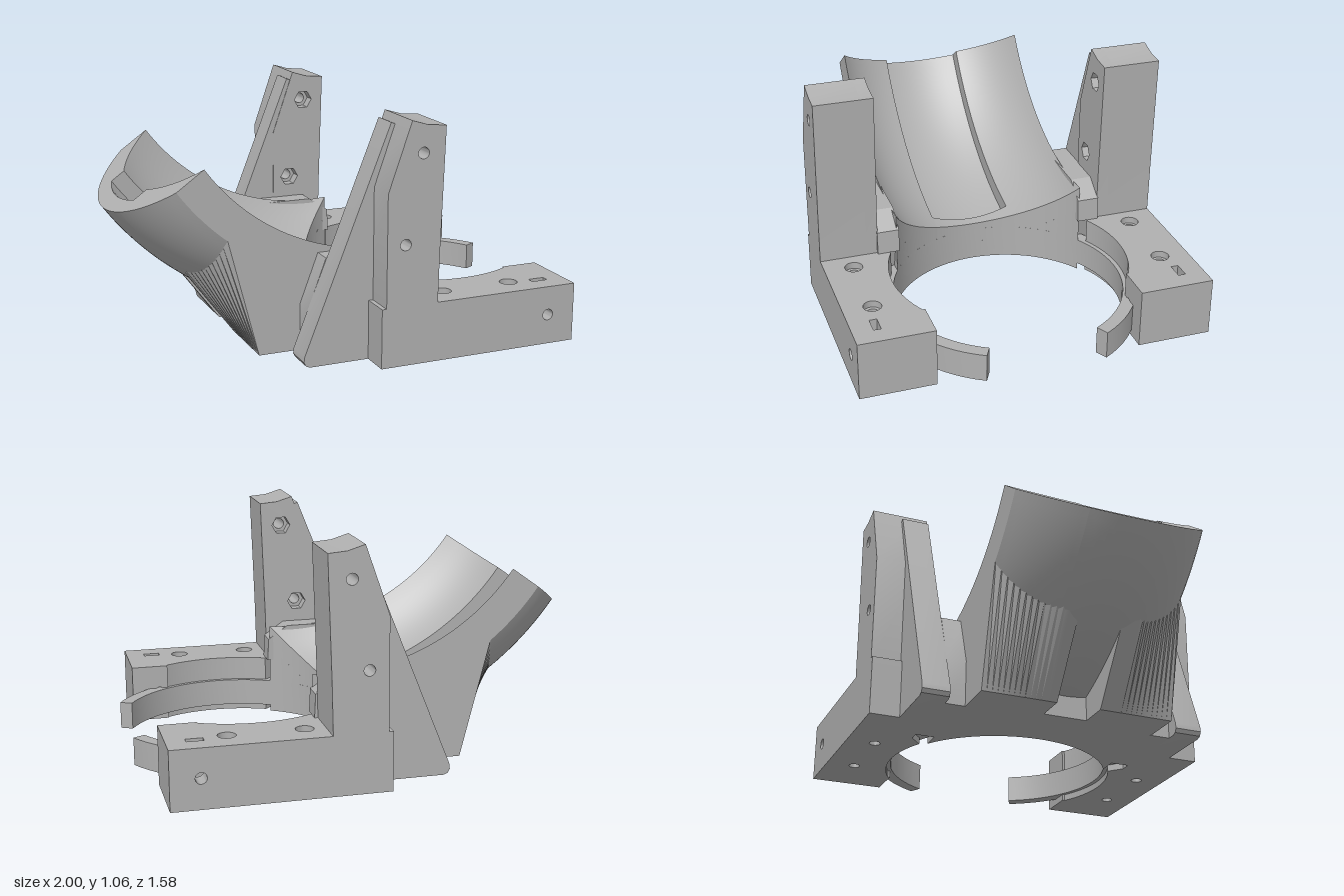
import * as THREE from 'three';
import { toCreasedNormals } from 'three/addons/utils/BufferGeometryUtils.js';

const grey = new THREE.MeshStandardMaterial({ color: 0xb0b0b0 });
grey.name = 'grey';

function circle(x, y, r, n = 24) {
  return Array.from({ length: n }, (_, i) => {
    const a = (i / n) * Math.PI * 2;
    return [x + r * Math.cos(a), y + r * Math.sin(a)];
  });
}
const toV2 = (pts) => pts.map(([x, y]) => new THREE.Vector2(x, y));

function extrude(pts, holes, depth) {
  const shape = new THREE.Shape(toV2(pts));
  for (const h of holes) shape.holes.push(new THREE.Path(toV2(h)));
  return new THREE.ExtrudeGeometry(shape, { depth, bevelEnabled: false });
}

// Side profile (x, y) extruded from z0 to z1
const prismZ = (pts, holes, z0, z1) => extrude(pts, holes, z1 - z0).translate(0, 0, z0);
// Plan outline (x, z) extruded from y0 to y1
const prismY = (pts, holes, y0, y1) =>
  extrude(pts, holes, y1 - y0).rotateX(Math.PI / 2).translate(0, y1, 0);

// Skin over counter-clockwise (x, y) loops placed at each z, with end caps
function loft(z0, z1, steps, section) {
  const loops = [];
  for (let k = 0; k <= steps; k++) {
    const z = z0 + ((z1 - z0) * k) / steps;
    loops.push(section(z).map(([x, y]) => [x, y, z]));
  }
  const pos = [];
  const n = loops[0].length;
  for (let k = 0; k < steps; k++) {
    for (let i = 0; i < n; i++) {
      const j = (i + 1) % n;
      const a = loops[k][i], b = loops[k][j], c = loops[k + 1][j], d = loops[k + 1][i];
      pos.push(...a, ...b, ...c, ...a, ...c, ...d);
    }
  }
  for (const [loop, flip] of [[loops[0], true], [loops[steps], false]]) {
    for (const [a, b, c] of THREE.ShapeUtils.triangulateShape(toV2(loop), [])) {
      pos.push(...loop[a], ...loop[flip ? c : b], ...loop[flip ? b : c]);
    }
  }
  const g = new THREE.BufferGeometry();
  g.setAttribute('position', new THREE.Float32BufferAttribute(pos, 3));
  return g;
}

// Trough is swept around a z axis at (CX, CY) and cut by the upright ring bore
const CX = 0.142, CY = 1.428, START = -0.953;
const RING_X = 0.5, BORE = 0.51;
const sag = (z) => 0.51 - Math.sqrt(0.2601 - z * z);
const floorR = (z) => 1.251 - sag(z);
const boreX = (z) => RING_X - Math.sqrt(BORE * BORE - z * z);
const angleAt = (x, r) => Math.asin((x - CX) / r);
function arc(r, a0, a1, n) {
  return Array.from({ length: n + 1 }, (_, i) => {
    const a = a0 + ((a1 - a0) * i) / n;
    return [CX + r * Math.sin(a), CY - r * Math.cos(a)];
  });
}

function shellSection(z) {
  const rin = floorR(z), rout = rin + 0.15;
  return [
    ...arc(rout, START, angleAt(boreX(z), rout), 28),
    ...arc(rin, angleAt(boreX(z), rin), START, 28),
  ];
}
function grooveSection(z) {
  const rin = floorR(z), rout = rin + 0.15, rg = rin + 0.072, stop = -0.055;
  return [
    ...arc(rout, START, angleAt(boreX(z), rout), 28),
    ...arc(rin, angleAt(boreX(z), rin), angleAt(stop, rin), 3),
    ...arc(rg, angleAt(stop, rg), START, 28),
  ];
}
// Support below the trough: back edge leans by slope from xb at the floor
function supportSection(z, xb, slope) {
  const r = floorR(z) + 0.1;
  const dx = xb - CX;
  const A = slope * slope + 1, B = -2 * (slope * dx + CY), C = dx * dx + CY * CY - r * r;
  const y = (-B - Math.sqrt(B * B - 4 * A * C)) / (2 * A);
  const back = Math.atan2(xb - slope * y - CX, CY - y);
  return [[xb, 0], [boreX(z), 0], ...arc(r, angleAt(boreX(z), r), back, 20)];
}
function legSection(z) {
  const t = Math.min(1, Math.max(0, (Math.abs(z) - 0.16) / 0.28));
  return supportSection(z, -0.44, 0.74 + (0.255 - 0.74) * t);
}

export function createModel() {
  const group = new THREE.Group();
  const add = (name, geo, parent = group) => {
    const mesh = new THREE.Mesh(toCreasedNormals(geo, 0.55), grey);
    mesh.name = name;
    parent.add(mesh);
  };

  // Curved trough with a sunken middle channel
  add('troughChannel', loft(-0.185, 0.185, 12, grooveSection));
  add('troughLeftWall', loft(0.185, 0.44, 12, shellSection));
  add('troughRightWall', loft(-0.44, -0.185, 12, shellSection));

  // Forked support under the trough
  add('supportCentre', loft(-0.1, 0.1, 6, (z) => supportSection(z, -0.3, 0)));
  add('supportLeftLeg', loft(0.1, 0.44, 14, legSection));
  add('supportRightLeg', loft(-0.44, -0.1, 14, legSection));

  // Open clamp ring
  const ringPts = [];
  const gap = 0.49, N = 64;
  for (const [r, dir] of [[0.568, 1], [BORE, -1]]) {
    for (let i = 0; i <= N; i++) {
      const t = dir > 0 ? i / N : 1 - i / N;
      const a = gap + t * (Math.PI * 2 - 2 * gap);
      ringPts.push([RING_X + r * Math.cos(a), r * Math.sin(a)]);
    }
  }
  add('clampRing', prismY(ringPts, [], 0.03, 0.155));

  // Side frames, mirrored in z
  for (const s of [1, -1]) {
    const side = new THREE.Group();
    side.name = s > 0 ? 'leftFrame' : 'rightFrame';
    group.add(side);
    const slab = (name, pts, holes, z0, z1) =>
      add(name, prismZ(pts, holes, s > 0 ? z0 : -z1, s > 0 ? z1 : -z0), side);

    // Base block with the ring recess and countersunk holes
    const plan = [[-0.02, 0.525], [-0.02, 0.79], [0.75, 0.79]];
    const a0 = Math.acos(0.25 / 0.53), a1 = Math.PI - 1.1;
    for (let i = 0; i <= 24; i++) {
      const a = a0 + ((a1 - a0) * i) / 24;
      plan.push([RING_X + 0.53 * Math.cos(a), 0.53 * Math.sin(a)]);
    }
    plan.push([0.2, 0.525]);
    const flip = (pts) => pts.map(([x, z]) => [x, z * s]);
    const bolts = (r) => [0.33, 0.66].map((x) => flip(circle(x, 0.66, r)));
    add('baseBlock', prismY(flip(plan), bolts(0.025), 0, 0.235), side);
    add('baseBlockTop', prismY(flip(plan), bolts(0.04), 0.235, 0.265), side);

    // Block end with cross hole and nut slot
    const end = [[0.75, 0], [0.92, 0], [0.92, 0.265], [0.75, 0.265]];
    const cross = [circle(0.79, 0.135, 0.025)];
    slab('blockEndInner', end, cross, 0.456, 0.667);
    slab('blockEndSlot', [[0.75, 0], [0.92, 0], [0.92, 0.265], [0.835, 0.265],
      [0.835, 0.09], [0.76, 0.09], [0.76, 0.265], [0.75, 0.265]], [], 0.667, 0.7);
    slab('blockEndOuter', end, cross, 0.7, 0.79);

    // Tower with nut pockets on the inner side
    const tower = [[0, 0.26], [0.24, 0.26], [0.245, 0.5], [0.262, 1.03],
      [0.18, 1.037], [0.105, 1.06], [0, 0.76]];
    const holes = (r, n) => [circle(0.16, 0.92, r, n), circle(0.085, 0.535, r, n)];
    slab('towerInner', tower, holes(0.045, 6), 0.527, 0.58);
    slab('towerOuter', tower, holes(0.025, 24), 0.58, 0.79);

    // Slanted brace against the tower
    slab('brace', [[-0.29, 0], [0.02, 0], [0.02, 0.75], [0.1, 1.02], [0.075, 1.03],
      [-0.315, 0.05], [-0.318, 0.025], [-0.308, 0.007]], [], 0.53, 0.655);

    // Web joining the trough to the frame
    slab('web', [[-0.25, 0], [0.15, 0], [0.22, 0.265], [0.255, 0.265], [0.25, 0.37],
      [0.155, 0.435], [-0.165, 0.435], [-0.25, 0.21]], [], 0.43, 0.53);
  }
  return group;
}
